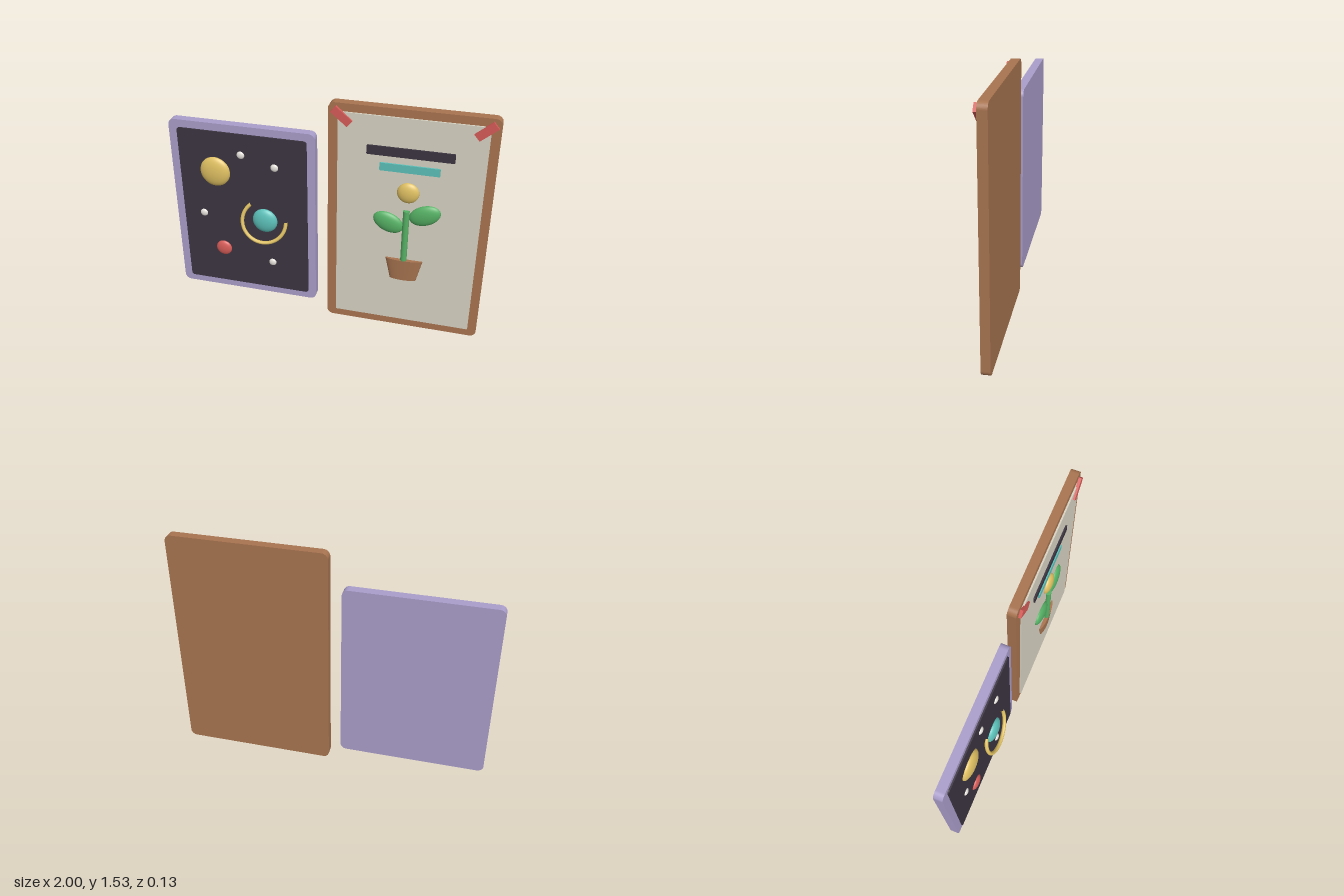
import * as THREE from 'three';

const mat = (name, color) => {
  const m = new THREE.MeshStandardMaterial({ color });
  m.name = name;
  return m;
};

export function createModel() {
  const brown = mat('brown', 0xa87450), lilac = mat('lilac', 0xa99dca);
  const dark = mat('dark', 0x3b3440), cream = mat('cream', 0xd8d3c3);
  const yellow = mat('yellow', 0xdfc062), teal = mat('teal', 0x5cc0b9);
  const red = mat('red', 0xd65c58), green = mat('green', 0x55b064);
  const white = mat('white', 0xe4e0da);

  const add = (parent, name, geo, material, x = 0, y = 0, z = 0, rz = 0) => {
    const mesh = new THREE.Mesh(geo, material);
    mesh.name = name;
    mesh.position.set(x, y, z);
    mesh.rotation.z = rz;
    parent.add(mesh);
    return mesh;
  };

  // Upright slab with rounded corners between z0 and z1
  const slab = (parent, name, material, x0, x1, y0, y1, z0, z1, r) => {
    const s = new THREE.Shape();
    s.moveTo(x0 + r, y0);
    s.absarc(x1 - r, y0 + r, r, -Math.PI / 2, 0);
    s.absarc(x1 - r, y1 - r, r, 0, Math.PI / 2);
    s.absarc(x0 + r, y1 - r, r, Math.PI / 2, Math.PI);
    s.absarc(x0 + r, y0 + r, r, Math.PI, Math.PI * 1.5);
    const geo = new THREE.ExtrudeGeometry(s, { depth: z1 - z0, bevelEnabled: false, curveSegments: 8 });
    return add(parent, name, geo, material, 0, 0, z0);
  };

  // Flattened ball
  const ball = (parent, name, material, x, y, rx, ry, rz, turn = 0) =>
    add(parent, name, new THREE.SphereGeometry(1, 28, 20).scale(rx, ry, rz), material, x, y, 0, turn);

  const model = new THREE.Group();
  model.name = 'wallPosters';

  // Space poster
  const space = new THREE.Group();
  space.name = 'spacePoster';
  model.add(space);
  slab(space, 'spaceFrame', lilac, -1, -0.065, 0.1, 1.31, -0.065, -0.01, 0.04);
  slab(space, 'nightSky', dark, -0.945, -0.115, 0.15, 1.26, -0.012, -0.001, 0.02);
  ball(space, 'yellowPlanet', yellow, -0.71, 0.985, 0.098, 0.1, 0.036);
  ball(space, 'ringedPlanet', teal, -0.395, 0.672, 0.082, 0.084, 0.036);
  ball(space, 'redPlanet', red, -0.69, 0.415, 0.053, 0.053, 0.021);
  for (const [x, y] of [[-0.535, 1.12], [-0.32, 1.06], [-0.81, 0.67], [-0.355, 0.355]])
    ball(space, 'star', white, x, y, 0.025, 0.025, 0.013);

  // Open ring, tilted forward at the bottom
  const ringArc = new THREE.TorusGeometry(0.141, 0.012, 10, 48, Math.PI * 1.31);
  ringArc.rotateZ(2.24);
  const ring = add(space, 'planetRing', ringArc, yellow, -0.397, 0.672, 0.019);
  ring.rotation.set(-0.26, 0.1, 0);
  ring.rotation.x = 0.26 * -1;

  // Plant poster
  const plant = new THREE.Group();
  plant.name = 'plantPoster';
  model.add(plant);
  slab(plant, 'plantFrame', brown, 0.015, 1, 0, 1.53, -0.065, -0.01, 0.04);
  slab(plant, 'paper', cream, 0.075, 0.945, 0.055, 1.48, -0.012, 0, 0.008);
  slab(plant, 'titleBar', dark, 0.25, 0.765, 1.237, 1.295, -0.002, 0.01, 0.006);
  slab(plant, 'subtitleBar', teal, 0.33, 0.687, 1.14, 1.19, -0.002, 0.01, 0.006);
  ball(plant, 'flower', yellow, 0.508, 1.005, 0.067, 0.067, 0.03);
  ball(plant, 'leftLeaf', green, 0.398, 0.787, 0.099, 0.065, 0.03, -0.42);
  ball(plant, 'rightLeaf', green, 0.617, 0.863, 0.099, 0.065, 0.03, 0.42);
  add(plant, 'stem', new THREE.CylinderGeometry(0.02, 0.02, 0.355, 16), green, 0.506, 0.707, 0.007);
  const pot = new THREE.CylinderGeometry(0.117, 0.083, 0.15, 28).scale(1, 1, 0.22);
  add(plant, 'pot', pot, brown, 0.508, 0.455, 0);

  // Tape strips on the upper corners
  for (const s of [-1, 1])
    add(plant, 'tape', new THREE.BoxGeometry(0.13, 0.05, 0.018), red, 0.508 + s * 0.411, 1.455, 0.003, s * 0.7);

  // Tidy the ring's lean so its lower left side comes forward
  ring.rotation.set(Math.atan(-0.26), Math.atan(0.1), 0);
  const n = new THREE.Vector3(0.1, 0.26, 1).normalize();
  ring.quaternion.setFromUnitVectors(new THREE.Vector3(0, 0, 1), n);

  return model;
}
